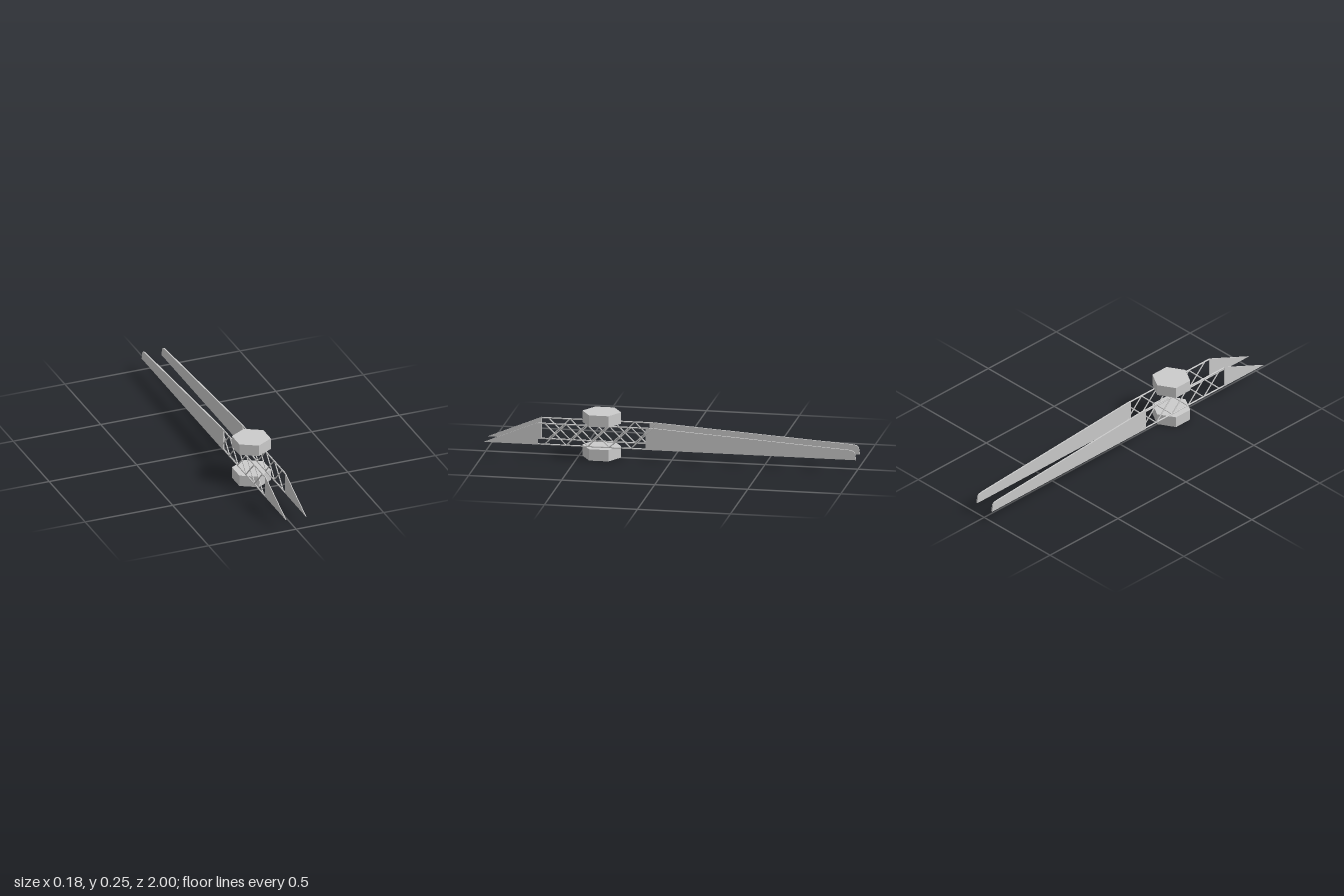
import * as THREE from 'three';

const material = new THREE.MeshStandardMaterial({ color: 0xcccccc, flatShading: true });

function add(parent, geometry, name) {
  const mesh = new THREE.Mesh(geometry, material);
  mesh.name = name;
  parent.add(mesh);
  return mesh;
}

// Flat plate from a [z, y] outline, centred on x = 0
function plate(outline, thickness) {
  const shape = new THREE.Shape(outline.map(([z, y]) => new THREE.Vector2(z, y)));
  const geometry = new THREE.ExtrudeGeometry(shape, { depth: thickness, bevelEnabled: false });
  return geometry.translate(0, 0, -thickness / 2).rotateY(-Math.PI / 2);
}

// Thin round bar between two [z, y] points
function bar(parent, [z1, y1], [z2, y2], radius, name, x = 0) {
  const length = Math.hypot(z2 - z1, y2 - y1);
  const mesh = add(parent, new THREE.CylinderGeometry(radius, radius, length, 8), name);
  mesh.position.set(x, (y1 + y2) / 2, (z1 + z2) / 2);
  mesh.rotation.x = Math.atan2(z2 - z1, y2 - y1);
}

const LOW = 0.068, HIGH = 0.182;

function createSide() {
  const side = new THREE.Group();

  // Pointed front panel and long tapering rear panel
  add(side, plate([[1, 0.065], [0.71, 0.186], [0.71, 0.065]], 0.004), 'frontPanel');
  add(side, plate([
    [0.13, 0.065], [0.13, 0.186], [-0.965, 0.118], [-0.985, 0.113], [-0.993, 0.105], [-1, 0.065],
  ], 0.008), 'rearPanel');

  // Rails
  bar(side, [0.71, HIGH], [0.1, HIGH], 0.004, 'topRail');
  bar(side, [0.71, LOW], [-0.995, LOW], 0.004, 'bottomRail');

  // Crossed lattice; the last cross runs into the rear panel
  const pitch = 0.116;
  for (let i = 0; i < 5; i++) {
    const front = 0.674 - i * pitch;
    const back = front - pitch;
    bar(side, [front, LOW], [back, HIGH], 0.0035, 'latticeBar', 0.002);
    bar(side, [front, HIGH], [back, LOW], 0.0035, 'latticeBar', -0.002);
  }
  return side;
}

export function createModel() {
  const model = new THREE.Group();
  model.name = 'latticeFrame';

  for (const [x, name] of [[0.056, 'leftSide'], [-0.057, 'rightSide']]) {
    const side = createSide();
    side.name = name;
    side.position.x = x;
    model.add(side);
  }

  // Hexagonal blocks below and above the lattice
  for (const [y, name] of [[0.031, 'lowerHexBlock'], [0.2165, 'upperHexBlock']]) {
    const block = add(model, new THREE.CylinderGeometry(0.104, 0.104, 0.062, 6), name);
    block.position.set(0, y, 0.377);
  }
  return model;
}
